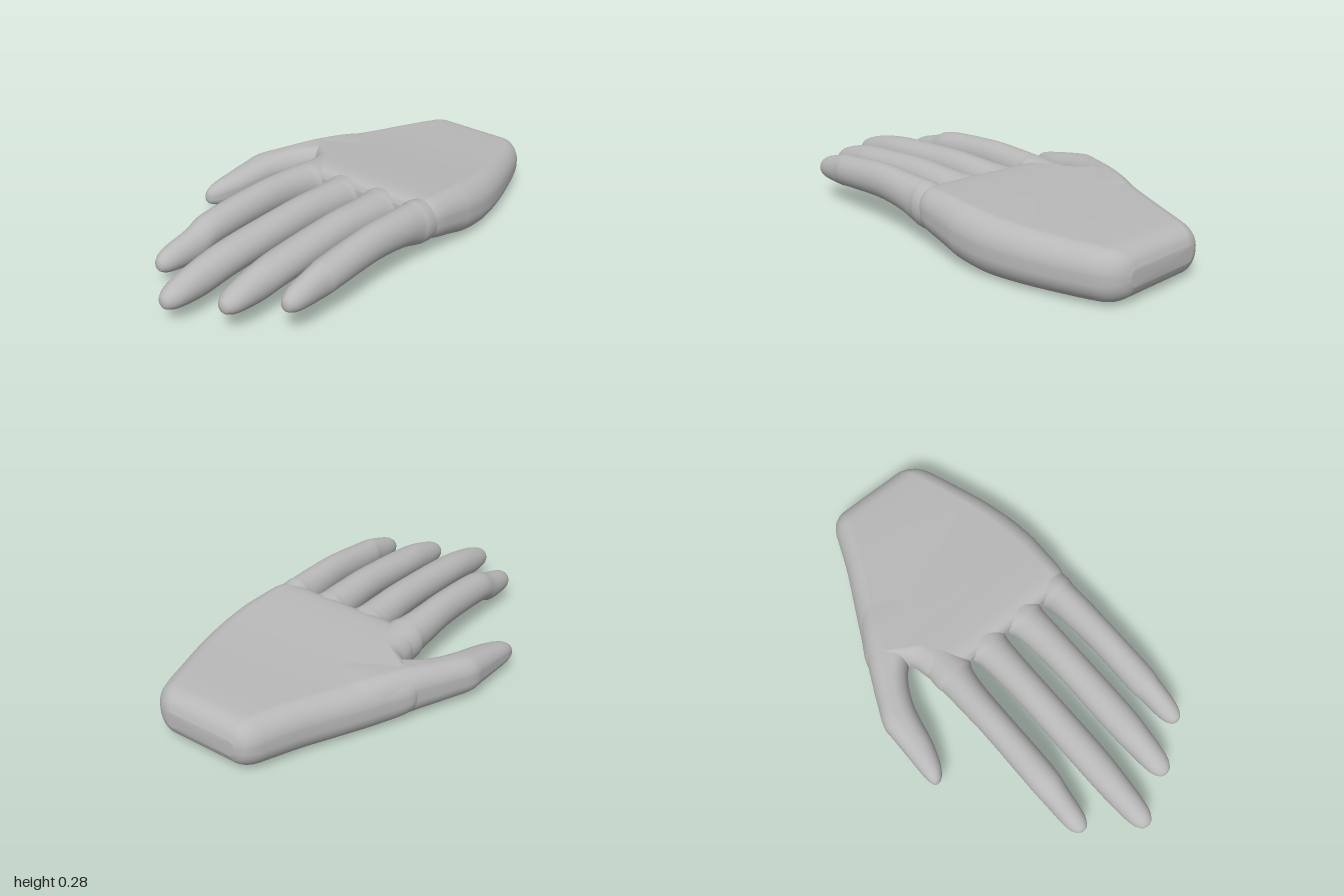
import * as THREE from 'three';

const SIDES = 40;
const STEPS = 5;

// Smooth skin through cross-sections along x, each [x, zMin, zMax, yMin, yMax, tilt].
// Sections are rounded boxes; tilt raises the top towards +z. First and last are closed.
function loft(rows, round = 0.95) {
  const curve = new THREE.CubicInterpolant(rows.map((_, i) => i), rows.flat(), 6);
  const count = (rows.length - 1) * STEPS;
  const pos = [], index = [];
  const ring = (s, scale) => {
    const [x, z0, z1, y0, y1, tilt] = s;
    const hw = Math.max((z1 - z0) / 2, 0.001), hh = Math.max((y1 - y0) / 2, 0.001);
    const rz = Math.min(hw, hh * round), ry = hh * round;
    for (let j = 0; j < SIDES; j++) {
      const a = ((j + 0.5) / SIDES) * Math.PI * 2;
      const c = Math.cos(a), n = Math.sin(a);
      const dz = (c * rz + Math.sign(c) * (hw - rz)) * scale;
      const dy = (n * ry + Math.sign(n) * (hh - ry)) * scale;
      const lift = tilt * dz * (dy / hh + 1) / 2;
      pos.push(x, (y0 + y1) / 2 + dy + lift, (z0 + z1) / 2 + dz);
    }
  };
  ring(rows[0], 0);
  for (let i = 0; i <= count; i++) ring(Array.from(curve.evaluate(i / STEPS)), 1);
  ring(rows[rows.length - 1], 0);
  for (let i = 0; i < count + 2; i++) {
    for (let j = 0; j < SIDES; j++) {
      const k = (j + 1) % SIDES;
      const a = i * SIDES + j, b = a + SIDES, d = i * SIDES + k, c = d + SIDES;
      index.push(a, b, c, a, c, d);
    }
  }
  const geo = new THREE.BufferGeometry();
  geo.setAttribute('position', new THREE.Float32BufferAttribute(pos, 3));
  geo.setIndex(index);
  geo.computeVertexNormals();
  return geo;
}

export function createModel() {
  const hand = new THREE.Group();
  hand.name = 'hand';
  const skin = new THREE.MeshStandardMaterial({ color: 0xb8b8b8 });
  skin.name = 'grey skin';
  const add = (name, geo) => {
    const mesh = new THREE.Mesh(geo, skin);
    mesh.name = name;
    hand.add(mesh);
  };

  // Palm and wrist, from the knuckles to the blunt wrist end
  add('palm', loft([
    [0.03, -0.19, 0.46, 0.13, 0.22, 0.04],
    [0.05, -0.23, 0.50, 0.10, 0.25, 0.04],
    [0.10, -0.255, 0.525, 0.08, 0.262, 0.04],
    [0.20, -0.28, 0.535, 0.055, 0.26, 0.04],
    [0.26, -0.36, 0.54, 0.04, 0.255, 0.04],
    [0.32, -0.425, 0.543, 0.025, 0.25, 0.04],
    [0.45, -0.365, 0.535, 0.01, 0.243, 0.03],
    [0.60, -0.29, 0.505, 0.01, 0.237, 0.02],
    [0.75, -0.215, 0.46, 0.012, 0.234, 0],
    [0.88, -0.16, 0.415, 0.015, 0.23, 0],
    [0.94, -0.135, 0.385, 0.022, 0.222, 0],
    [0.98, -0.105, 0.34, 0.05, 0.195, 0],
    [1.0, -0.06, 0.29, 0.09, 0.155, 0],
  ], 0.9));

  // Thumb, running out of the palm edge
  add('thumb', loft([
    [-0.28, -0.522, -0.512, 0.075, 0.09, 0],
    [-0.268, -0.536, -0.488, 0.055, 0.12, 0],
    [-0.22, -0.545, -0.455, 0.04, 0.15, 0],
    [-0.12, -0.545, -0.42, 0.035, 0.175, 0],
    [-0.01, -0.545, -0.398, 0.037, 0.197, 0],
    [0.06, -0.543, -0.378, 0.035, 0.208, 0],
    [0.15, -0.505, -0.335, 0.033, 0.217, 0],
    [0.22, -0.473, -0.275, 0.03, 0.225, 0],
    [0.32, -0.425, -0.15, 0.025, 0.235, 0],
    [0.45, -0.36, -0.05, 0.018, 0.236, 0],
    [0.60, -0.27, 0.0, 0.03, 0.22, 0],
  ], 0.85));

  // Fingers: [name, tip x, tip z, zMin, zMax, tip y, knuckle top, root zMin, root zMax]
  const fingers = [
    ['indexFinger', -0.84, -0.18, -0.242, -0.107, 0.115, 0.268, -0.258, -0.068],
    ['middleFinger', -1.0, 0.04, -0.032, 0.112, 0.118, 0.262, -0.058, 0.132],
    ['ringFinger', -0.89, 0.25, 0.178, 0.324, 0.135, 0.27, 0.148, 0.342],
    ['littleFinger', -0.755, 0.44, 0.375, 0.507, 0.16, 0.285, 0.355, 0.522],
  ];
  for (const [name, tx, tz, z0, z1, ty, top, r0, r1] of fingers) {
    const mid = (tx - 0.27) / 2;
    const w = (z1 - z0) / 2;
    add(name, loft([
      [tx, tz - 0.008, tz + 0.008, ty - 0.01, ty + 0.01, 0],
      [tx + 0.012, tz - w * 0.42, tz + w * 0.42, ty - 0.03, ty + 0.032, 0],
      [tx + 0.06, tz - w * 0.72, tz + w * 0.72, ty - 0.046, ty + 0.06, 0],
      [tx + 0.18, z0 + 0.008, z1 - 0.008, ty - 0.05, ty + 0.095, 0],
      [mid, z0, z1, top - 0.168, top - 0.022, 0],
      [-0.27, z0, z1, top - 0.155, top, 0],
      [-0.1, z0 - 0.005, z1 + 0.005, top - 0.168, top - 0.002, 0],
      [0.0, (z0 + r0) / 2, (z1 + r1) / 2, 0.088, top - 0.005, 0],
      [0.05, r0, r1, 0.08, top - 0.008, 0],
      [0.2, r0 + 0.01, r1 - 0.01, 0.075, 0.245, 0],
    ], 1));
  }
  return hand;
}
